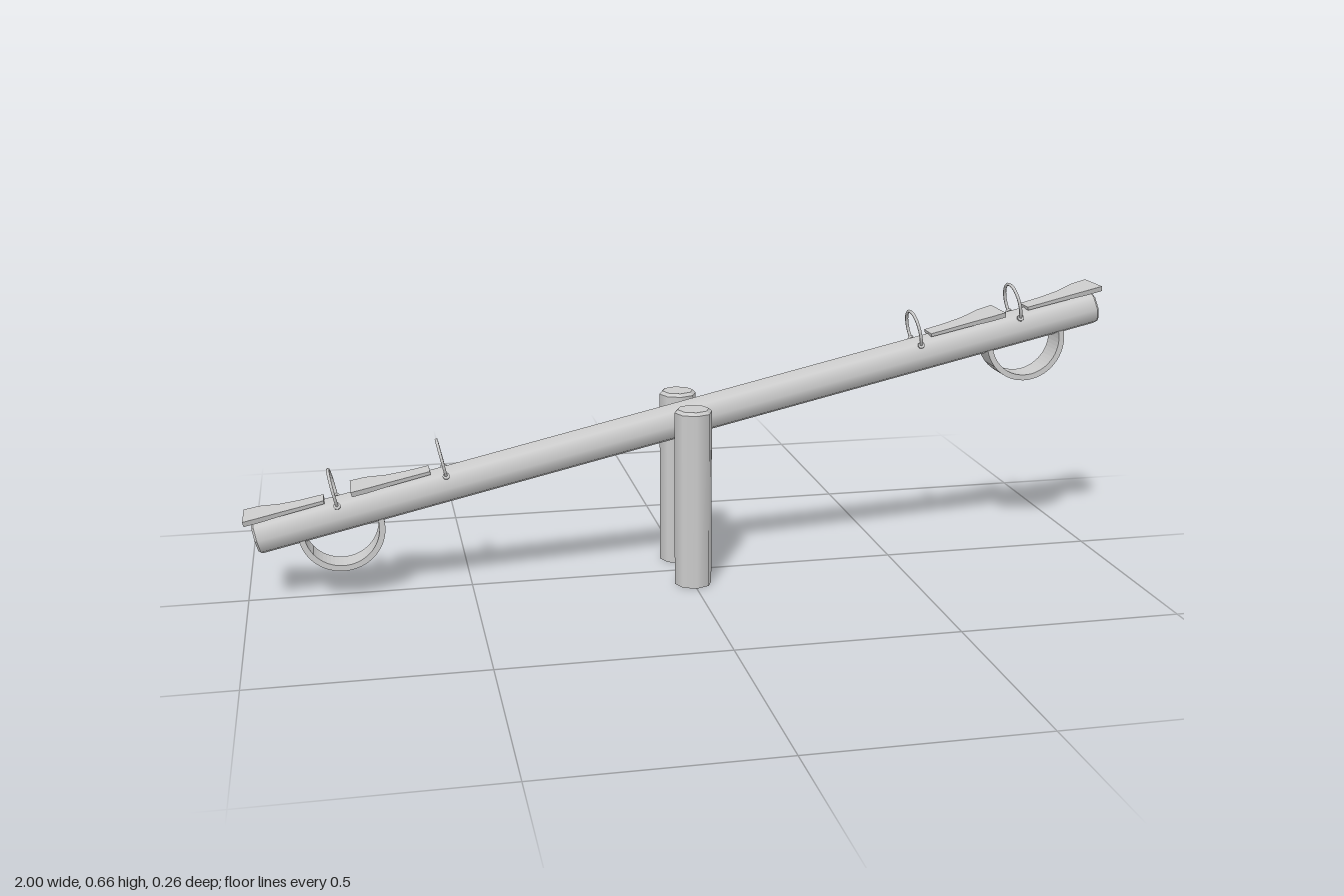
import * as THREE from 'three';

const material = new THREE.MeshStandardMaterial({ color: 0xcccccc });
const thinMaterial = new THREE.MeshStandardMaterial({ color: 0xcccccc, side: THREE.DoubleSide });
const flatMaterial = new THREE.MeshStandardMaterial({ color: 0xcccccc, flatShading: true });

function addMesh(parent, name, geometry, mat = material) {
  const mesh = new THREE.Mesh(geometry, mat);
  mesh.name = name;
  parent.add(mesh);
  return mesh;
}

// Eight-sided log along y, with chamfered rims at the chosen ends
function makeLog(name, radius, length, chamfer, bothEnds) {
  const log = new THREE.Group();
  log.name = name;
  const bottomCut = bothEnds ? chamfer : 0;
  const body = addMesh(log, 'logBody',
    new THREE.CylinderGeometry(radius, radius, length - chamfer - bottomCut, 8, 1, true));
  body.position.y = (bottomCut - chamfer) / 2;
  const ends = [[1, chamfer]];
  ends.push([-1, bottomCut]);
  for (const [side, cut] of ends) {
    const rim = cut || 0.001;
    const cap = addMesh(log, 'logEnd',
      new THREE.CylinderGeometry(radius - cut, radius, rim, 8), flatMaterial);
    cap.position.y = side * (length / 2 - rim / 2);
    if (side < 0) cap.rotation.x = Math.PI;
  }
  return log;
}

// Saddle: rectangular sections from a narrow nose to a wide, slightly raised back
function seatGeometry(length) {
  const sections = [ // along, half width, bottom, top
    [0, 0.025, 0.038, 0.046],
    [0.3, 0.027, 0.038, 0.047],
    [0.55, 0.032, 0.039, 0.049],
    [0.8, 0.045, 0.041, 0.053],
    [1, 0.047, 0.042, 0.054],
  ];
  const positions = [], index = [];
  for (const [t, w, bottom, top] of sections) {
    const x = t * length;
    positions.push(x, bottom, w * 0.93, x, bottom, -w * 0.93, x, top, -w, x, top, w);
  }
  for (let s = 0; s < sections.length - 1; s++) {
    for (let k = 0; k < 4; k++) {
      const a = s * 4 + k, b = s * 4 + (k + 1) % 4;
      index.push(a, b, a + 4, b, b + 4, a + 4);
    }
  }
  const e = (sections.length - 1) * 4;
  index.push(0, 2, 1, 0, 3, 2, e, e + 1, e + 2, e, e + 2, e + 3);
  const geometry = new THREE.BufferGeometry();
  geometry.setAttribute('position', new THREE.Float32BufferAttribute(positions, 3));
  geometry.setIndex(index);
  geometry.computeVertexNormals();
  return geometry;
}

// Half tyre below the beam, as a thick curved band
function bumperGeometry(outer, inner, width) {
  const shape = new THREE.Shape();
  shape.absarc(0, 0, outer, Math.PI, Math.PI * 2, false);
  shape.absarc(0, 0, inner, Math.PI * 2, Math.PI, true);
  const geometry = new THREE.ExtrudeGeometry(shape, { depth: width, bevelEnabled: false, curveSegments: 14 });
  return geometry.translate(0, 0, -width / 2);
}

// Ring handle across the beam, with a small foot on each side
function makeHandle() {
  const handle = new THREE.Group();
  handle.name = 'handle';
  const ring = addMesh(handle, 'handleRing', new THREE.TorusGeometry(0.046, 0.0037, 6, 28));
  ring.rotation.y = Math.PI / 2;
  ring.position.y = 0.058;
  for (const side of [-1, 1]) {
    const foot = addMesh(handle, 'handleFoot', new THREE.CylinderGeometry(0.008, 0.008, 0.006, 8));
    foot.position.set(0, 0.029, side * 0.036);
    foot.rotation.x = side * 1.1;
  }
  return handle;
}

export function createModel() {
  const model = new THREE.Group();
  model.name = 'seesaw';

  // Posts either side of the beam
  for (const side of [-1, 1]) {
    const post = makeLog(side > 0 ? 'frontPost' : 'backPost', 0.043, 0.414, 0.007, false);
    post.position.set(0, 0.207, side * 0.0885);
    model.add(post);
  }

  // Tilted plank assembly
  const rocker = new THREE.Group();
  rocker.name = 'rocker';
  rocker.position.set(0.006, 0.371, 0);
  rocker.rotation.z = Math.atan(0.2254);
  model.add(rocker);

  const beam = makeLog('beam', 0.042, 2.014, 0.005, true);
  beam.rotation.z = -Math.PI / 2;
  rocker.add(beam);

  // Both ends carry two seats, two handles and a bumper
  for (const side of [1, -1]) {
    const end = new THREE.Group();
    end.name = side > 0 ? 'leftEnd' : 'rightEnd';
    if (side < 0) end.rotation.y = Math.PI;
    rocker.add(end);
    for (const x of [0.598, 0.84]) {
      addMesh(end, 'seat', seatGeometry(0.179), flatMaterial).position.x = x;
    }
    for (const x of [0.566, 0.814]) {
      const handle = makeHandle();
      handle.position.x = x;
      end.add(handle);
    }
    addMesh(end, 'bumper', bumperGeometry(0.096, 0.083, 0.062), thinMaterial).position.set(0.82, -0.03, 0);
  }
  return model;
}
